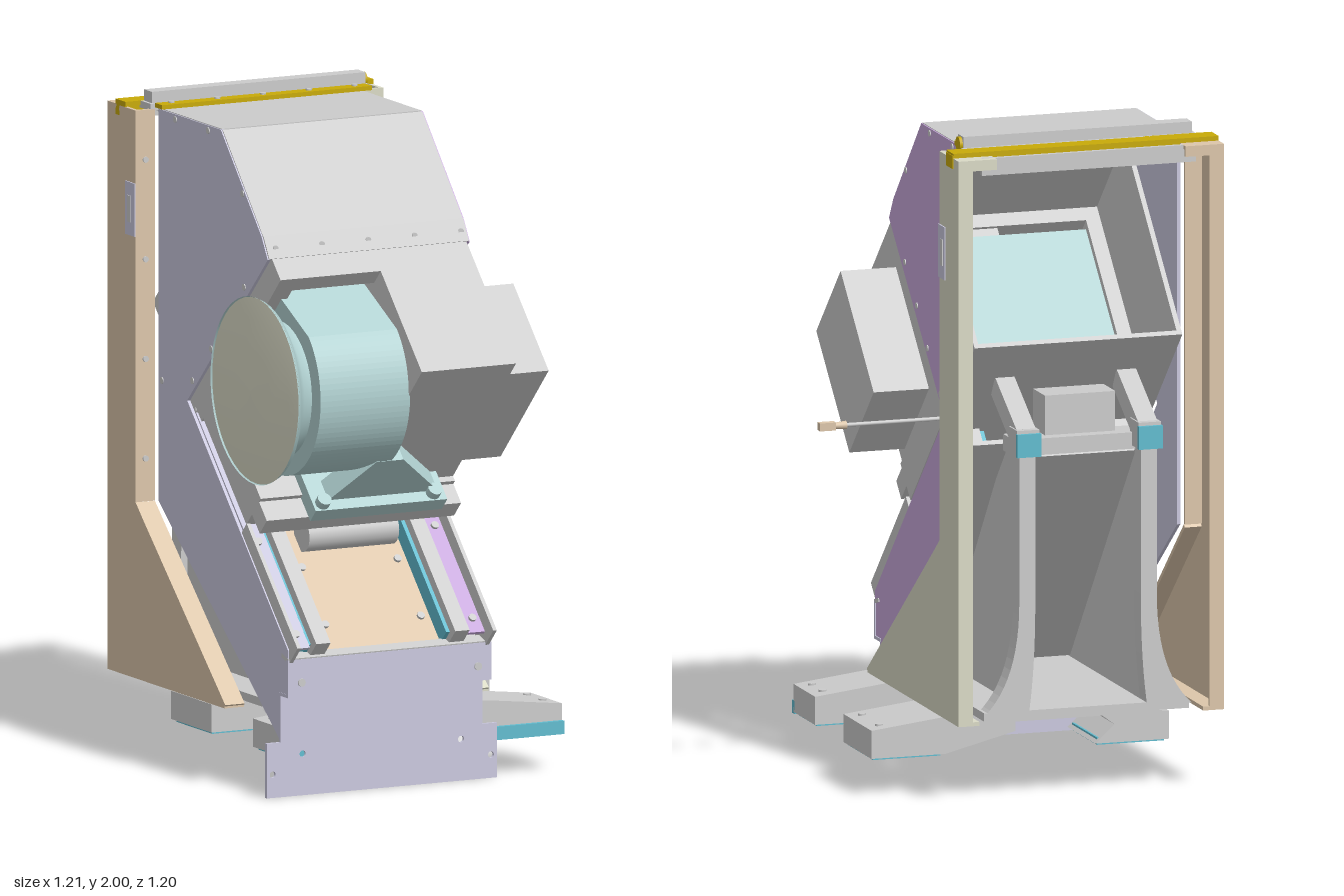
import * as THREE from 'three';

const GREY = 0xcccccc, PURPLE = 0xc8a8dc, LAVENDER = 0xcac8de, TAN = 0xdcc6aa, CREAM = 0xdadac6;
const YELLOW = 0xc8aa08, TEAL = 0xb2d2d2, CYAN = 0x62bccf;
const mats = {};
const mat = (c) => (mats[c] ??= new THREE.MeshStandardMaterial({ color: c, side: THREE.DoubleSide }));
const vecs = (pts) => pts.map((p) => new THREE.Vector2(...p));

function add(parent, name, geo, color) {
  const m = new THREE.Mesh(geo, mat(color));
  m.name = name;
  parent.add(m);
  return m;
}

// Box given by its limits on each axis
function box(parent, name, color, x0, x1, y0, y1, z0, z1) {
  const m = add(parent, name, new THREE.BoxGeometry(x1 - x0, y1 - y0, z1 - z0), color);
  m.position.set((x0 + x1) / 2, (y0 + y1) / 2, (z0 + z1) / 2);
  return m;
}

// Front outline extruded from z0 to z1
function slab(parent, name, color, shape, z0, z1) {
  const m = add(parent, name, new THREE.ExtrudeGeometry(shape, { depth: z1 - z0, bevelEnabled: false }), color);
  m.position.z = z0;
  return m;
}

// Side profile of [z, y] points (or a Shape) extruded from x0 to x1
function side(parent, name, color, profile, x0, x1) {
  const shape = Array.isArray(profile) ? new THREE.Shape(vecs(profile)) : profile;
  const geo = new THREE.ExtrudeGeometry(shape, { depth: x1 - x0, bevelEnabled: false, curveSegments: 24 });
  const m = add(parent, name, geo, color);
  m.rotation.y = -Math.PI / 2;
  m.position.x = x1;
  return m;
}

// Flat sheet running between two [z, y] points, spanning x0 to x1
function sheet(parent, name, color, p, q, x0, x1, t = 0.012) {
  const dz = q[0] - p[0], dy = q[1] - p[1];
  const m = add(parent, name, new THREE.BoxGeometry(x1 - x0, t, Math.hypot(dz, dy)), color);
  m.position.set((x0 + x1) / 2, (p[1] + q[1]) / 2, (p[0] + q[0]) / 2);
  m.rotation.x = -Math.atan2(dy, dz);
  return m;
}

// Short cylinder along x, y or z
function rod(parent, name, color, r, len, axis, x, y, z, r2 = r) {
  const m = add(parent, name, new THREE.CylinderGeometry(r, r2, len, 16), color);
  if (axis === 'x') m.rotation.z = Math.PI / 2;
  if (axis === 'z') m.rotation.x = Math.PI / 2;
  m.position.set(x, y, z);
  return m;
}

function group(parent, name) {
  const g = new THREE.Group();
  g.name = name;
  parent.add(g);
  return g;
}

// Open channel column with a flared triangular foot
function column(parent, name, color, x0, x1, outer, toe) {
  const g = group(parent, name), t = 0.012;
  const xs = outer > 0 ? x1 - t : x0;
  side(g, 'columnSide', color, [[-0.6, 0.24], [toe, 0.24], [-0.42, 0.77], [-0.42, 1.95], [-0.6, 1.95]], xs, xs + t);
  sheet(g, 'frontFlange', color, [-0.426, 0.77], [-0.426, 1.95], x0, x1);
  sheet(g, 'slopedFlange', color, [-0.425, 0.765], [toe, 0.246], x0, x1);
  sheet(g, 'bottomFlange', color, [-0.6, 0.246], [toe, 0.246], x0, x1);
  const b0 = outer > 0 ? x1 - 0.045 : x0;
  box(g, 'backFlange', color, b0, b0 + 0.045, 0.24, 1.95, -0.6, -0.588);
  const c0 = outer > 0 ? x1 - 0.12 : x0;
  box(g, 'topCorner', color, c0, c0 + 0.12, 1.92, 1.95, -0.6, -0.588);
  box(g, 'topCornerPlate', color, c0, c0 + 0.12, 1.94, 1.952, -0.6, -0.54);
  const xo = outer > 0 ? x1 : x0;
  box(g, 'latchPlate', LAVENDER, xo - 0.004, xo + 0.004, 1.57, 1.73, -0.48, -0.42);
  box(g, 'latchSlot', GREY, xo - 0.006, xo + 0.006, 1.61, 1.69, -0.465, -0.445);
  for (const y of [0.9, 1.2, 1.5, 1.8]) rod(g, 'columnBolt', GREY, 0.009, 0.008, 'z', (x0 + x1) / 2, y, -0.418);
}

export function createModel() {
  const model = new THREE.Group();
  model.name = 'machineCabinet';

  // Side panels with a right-angled notch for the tilted blower
  const panel = [[-0.02, 1.95], [-0.42, 1.95], [-0.42, 0.77], [0.36, 0.17], [0.36, 0.31], [0.41, 0.31],
    [0.41, 0.45], [-0.235, 1.1], [0.28, 1.605], [0.24, 1.67]];
  side(model, 'rightSidePanel', PURPLE, panel, 0.142, 0.152);
  side(model, 'leftSidePanel', LAVENDER, panel, -0.524, -0.514);
  for (const [z, y] of [[-0.1, 1.935], [-0.31, 1.935], [0.12, 1.78], [0.13, 1.5], [0.02, 1.39], [-0.08, 1.28], [-0.2, 1.165], [-0.395, 1.135]])
    for (const x of [0.152, -0.524]) rod(model, 'panelBolt', GREY, 0.01, 0.006, 'x', x, y, z);

  // Hood
  sheet(model, 'hoodTop', GREY, [-0.44, 1.946], [-0.02, 1.946], -0.52, 0.148);
  sheet(model, 'hoodSlope', GREY, [-0.02, 1.946], [0.24, 1.665], -0.52, 0.148);
  sheet(model, 'hoodLip', GREY, [0.24, 1.668], [0.278, 1.605], -0.52, 0.148);
  for (let i = 0; i < 5; i++) rod(model, 'hoodBolt', GREY, 0.009, 0.012, 'z', -0.49 + i * 0.155, 1.635, 0.262);

  // Columns and the rails across their tops
  column(model, 'rightColumn', CREAM, 0.165, 0.23, 1, 0.25);
  column(model, 'leftColumn', TAN, -0.6, -0.535, -1, 0.15);
  box(model, 'rearTopRail', YELLOW, -0.6, 0.23, 1.952, 1.966, -0.55, -0.485);
  box(model, 'rearRailFace', YELLOW, -0.6, 0.23, 1.92, 1.96, -0.55, -0.54);
  for (const x of [-0.6, 0.222]) box(model, 'railEndTab', YELLOW, x, x + 0.01, 1.92, 1.96, -0.55, -0.49);
  box(model, 'frontTopRail', YELLOW, -0.535, 0.168, 1.955, 1.968, -0.42, -0.375);
  for (let i = 0; i < 5; i++) rod(model, 'railBolt', GREY, 0.009, 0.008, 'y', -0.49 + i * 0.153, 1.969, -0.4);
  box(model, 'topCrossbar', GREY, -0.54, 0.175, 1.965, 2.0, -0.48, -0.43);
  box(model, 'topCrossbarBase', GREY, -0.55, 0.18, 1.945, 1.966, -0.49, -0.42);
  rod(model, 'railPivot', YELLOW, 0.022, 0.012, 'x', 0.178, 1.975, -0.455);
  box(model, 'rearHeader', GREY, -0.52, 0.15, 1.9, 1.952, -0.58, -0.565);

  // Front apron with wider foot and folded lip
  const apron = new THREE.Shape(vecs([[-0.57, 0], [0.2, 0], [0.2, 0.165], [0.152, 0.165], [0.152, 0.31],
    [-0.524, 0.31], [-0.524, 0.165], [-0.57, 0.165]]));
  for (const [x, y] of [[-0.55, 0.07], [0.18, 0.07], [-0.45, 0.125], [0.08, 0.125]])
    apron.holes.push(new THREE.Path().absarc(x, y, 0.01, 0, Math.PI * 2));
  slab(model, 'frontApron', LAVENDER, apron, 0.352, 0.362);
  box(model, 'frontLip', LAVENDER, -0.525, 0.155, 0.31, 0.42, 0.4, 0.412);
  box(model, 'frontLipUnderside', LAVENDER, -0.525, 0.155, 0.306, 0.316, 0.352, 0.412);
  sheet(model, 'frontLipTop', GREY, [0.41, 0.418], [0.37, 0.43], -0.525, 0.155);
  for (const x of [-0.48, 0.11]) rod(model, 'lipBolt', GREY, 0.012, 0.008, 'z', x, 0.35, 0.413);

  // Everything on the 45 degree slope: local y points out of the slope, local z runs down it
  const tilt = group(model, 'tiltedAssembly');
  tilt.rotation.x = Math.PI / 4;

  // Slide with floor plate and two rails
  box(tilt, 'slideFloor', GREY, -0.514, 0.142, 0.535, 0.55, -0.9, -0.04);
  box(tilt, 'slidePlate', TAN, -0.38, 0.0, 0.55, 0.572, -0.62, -0.03);
  for (const x of [-0.35, -0.03]) for (const w of [-0.13, -0.34]) rod(tilt, 'plateBolt', GREY, 0.012, 0.01, 'y', x, 0.575, w);
  for (const x of [-0.42, 0.045]) {
    box(tilt, 'slideRail', GREY, x - 0.024, x + 0.024, 0.55, 0.64, -0.86, -0.02);
    for (const s of [-1, 1]) box(tilt, 'railGuide', CYAN, x + s * 0.03 - 0.006, x + s * 0.03 + 0.006, 0.55, 0.61, -0.86, -0.04);
  }
  for (const x of [-0.52, 0.135]) box(tilt, 'slideEdge', GREY, x, x + 0.012, 0.55, 0.655, -0.46, 0.0);
  for (const [x, c] of [[-0.51, LAVENDER], [0.08, PURPLE]]) {
    box(tilt, 'slideSideFlange', c, x, x + 0.06, 0.6, 0.61, -0.9, -0.03);
    for (const w of [-0.08, -0.42]) rod(tilt, 'flangeBolt', GREY, 0.012, 0.01, 'y', x + 0.03, 0.613, w);
  }
  rod(tilt, 'slideRoller', GREY, 0.05, 0.3, 'x', -0.18, 0.61, -0.43);

  // Rectangular duct running back into the cabinet, with its front frame
  const ductLoop = (x0, x1, u0, u1) => vecs([[x0, u0], [x1, u0], [x1, u1], [x0, u1]]);
  for (const [name, inset, w0, w1] of [['blowerDuct', 0.015, -1.3, -0.94], ['blowerFrame', 0.06, -0.94, -0.86]]) {
    const ring = new THREE.Shape(ductLoop(-0.51, 0.14, 0.62, 1.335));
    ring.holes.push(new THREE.Path(ductLoop(-0.51 + inset, 0.14 - inset, 0.62 + inset, 1.335 - inset)));
    slab(tilt, name, GREY, ring, w0, w1);
  }
  box(tilt, 'blowerBase', GREY, -0.51, 0.14, 0.635, 0.765, -0.88, -0.47);
  box(tilt, 'blowerBaseLip', GREY, -0.51, 0.14, 0.686, 0.75, -0.47, -0.4);

  // Motor housings
  box(tilt, 'motorHousing', GREY, -0.175, 0.14, 0.76, 1.335, -0.93, -0.488);
  box(tilt, 'motorEndBox', GREY, 0.14, 0.313, 0.775, 1.21, -0.855, -0.535);

  // Blower volute: outlet narrowing behind a round front
  const volute = new THREE.Shape();
  volute.moveTo(-0.9, 0.776);
  volute.lineTo(-0.675, 0.776);
  volute.absarc(-0.675, 1.036, 0.26, -Math.PI / 2, Math.PI / 2, false);
  volute.lineTo(-0.9, 1.22);
  side(tilt, 'blowerVolute', TEAL, volute, -0.47, -0.17);
  box(tilt, 'blowerOutletPlate', TEAL, -0.44, 0.0, 0.78, 1.24, -0.945, -0.932);

  // Mounting foot with gusset
  box(tilt, 'blowerFoot', TEAL, -0.37, 0.07, 0.75, 0.8, -0.56, -0.385);
  const gusset = new THREE.Shape(vecs([[-0.32, 0.79], [0.06, 0.79], [-0.13, 0.98], [-0.22, 0.98]]));
  slab(tilt, 'footGusset', TEAL, gusset, -0.49, -0.42);
  for (const x of [-0.34, 0.03]) rod(tilt, 'footBolt', TEAL, 0.022, 0.03, 'y', x, 0.81, -0.41);

  // Round inlet bell with a shallow domed cover
  const bell = [[0.2, 0.44], [0.205, 0.47], [0.215, 0.5], [0.24, 0.525], [0.275, 0.54], [0.282, 0.555]];
  const cover = [[0.28, 0.55], [0.22, 0.558], [0.12, 0.566], [0, 0.57]];
  for (const [name, pts, c] of [['inletBell', bell, TEAL], ['inletCover', cover, CREAM]]) {
    const m = add(model, name, new THREE.LatheGeometry(vecs(pts), 48), c);
    m.rotation.z = Math.PI / 2;
    m.position.set(0, 1.21, 0.255);
  }

  // Cable with connector
  rod(model, 'cable', GREY, 0.006, 0.38, 'x', 0.335, 1.135, -0.4);
  rod(model, 'cableSleeve', TAN, 0.013, 0.04, 'x', 0.535, 1.135, -0.4, 0.009);
  box(model, 'cableConnector', TAN, 0.55, 0.6, 1.123, 1.147, -0.412, -0.388);

  // Pedestal inside: flared legs, sloping web, top blocks and struts up to the duct
  const pedestal = group(model, 'pedestal');
  const leg = new THREE.Shape();
  leg.moveTo(-0.02, 1.05);
  leg.lineTo(0.03, 1.05);
  leg.lineTo(0.03, 0.6);
  leg.quadraticCurveTo(0.03, 0.36, 0.14, 0.26);
  leg.lineTo(0.0, 0.26);
  leg.quadraticCurveTo(-0.02, 0.4, -0.02, 0.6);
  for (const s of [1, -1]) {
    const m = slab(pedestal, 'pedestalLeg', GREY, leg, -0.57, -0.51);
    m.scale.x = s;
    m.position.x = s > 0 ? 0 : -0.37;
    const x = s > 0 ? 0 : -0.38;
    side(pedestal, 'pedestalWall', GREY, [[-0.52, 1.05], [-0.56, 0.27], [0.2, 0.27], [-0.3, 0.92], [-0.42, 1.05]], x, x + 0.012);
    box(pedestal, 'topBlock', GREY, x - 0.03, x + 0.04, 1.04, 1.12, -0.58, -0.5);
    box(pedestal, 'topBlockFace', CYAN, x - 0.032, x + 0.042, 1.04, 1.11, -0.59, -0.575);
    sheet(pedestal, 'ductStrut', GREY, [-0.54, 1.09], [-0.34, 1.21], x - 0.025, x + 0.035, 0.07);
  }
  sheet(pedestal, 'pedestalWeb', GREY, [-0.46, 1.02], [0.15, 0.28], -0.38, 0.01, 0.02);
  box(pedestal, 'pedestalBeam', GREY, -0.4, 0.03, 1.03, 1.08, -0.52, -0.42);
  box(pedestal, 'carrierBox', GREY, -0.3, -0.08, 1.08, 1.2, -0.48, -0.37);
  box(pedestal, 'baseTray', GREY, -0.5, 0.14, 0.245, 0.27, -0.57, 0.2);
  box(pedestal, 'baseHub', GREY, -0.33, -0.02, 0.18, 0.25, -0.3, 0.25);

  // Four feet reaching outward, each a sloped arm with a pad let into its underside
  for (const [x0, x1] of [[-0.02, 0.43], [-0.33, -0.5]]) for (const [z0, z1] of [[-0.385, -0.125], [0.14, 0.34]]) {
    const foot = group(model, 'foot'), s = Math.sign(x1 - x0), inner = x1 - s * 0.23;
    const arm = new THREE.Shape(vecs([[x0, 0.245], [x1 - s * 0.25, 0.23], [x1, 0.2], [x1, 0.115], [inner, 0.115], [x0, 0.17]]));
    slab(foot, 'footArm', GREY, arm, z0, z1);
    const a = Math.min(inner, x1), b = Math.max(inner, x1);
    box(foot, 'footPad', CYAN, a + 0.01, b - 0.01, 0.108, 0.13, z0 + 0.015, z1 - 0.015);
    if (z1 > 0) box(foot, 'footPadLip', CYAN, a, b, 0.11, 0.15, z1 - 0.01, 0.355);
    for (const z of [z0 + 0.05, z1 - 0.05]) rod(foot, 'footScrew', GREY, 0.012, 0.01, 'y', x1 - s * 0.04, 0.205, z);
  }
  return model;
}
